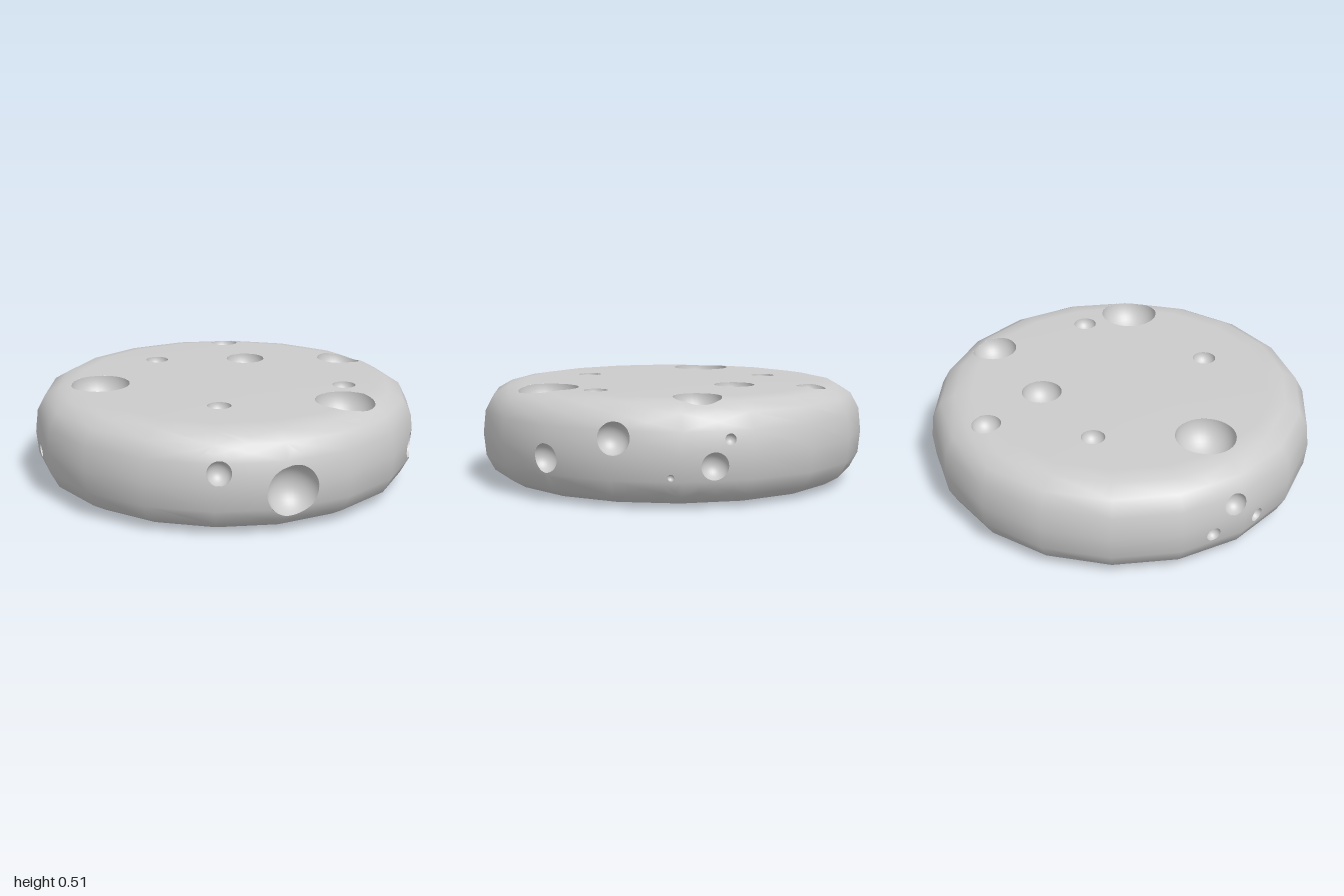
import * as THREE from 'three';

const SIDES = 18;

// Rounded wheel outline, bottom centre to top centre: [radius, height]
const PROFILE = [
  [0, 0], [0.78, 0.002], [0.87, 0.017], [0.945, 0.06], [0.988, 0.14], [1, 0.257],
  [0.988, 0.375], [0.945, 0.455], [0.87, 0.498], [0.78, 0.513], [0, 0.515],
];

// Holes in the flat faces: [x, z, radius]
const TOP_HOLES = [
  [-0.52, -0.4, 0.152], [0.02, -0.53, 0.06], [0.57, -0.53, 0.075], [0.375, -0.19, 0.103],
  [0.745, 0.18, 0.118], [0.11, 0.72, 0.152], [0.325, 0.545, 0.06], [-0.39, 0.325, 0.06],
];
const BOTTOM_HOLES = [
  [0.6, -0.48, 0.068], [0.16, -0.63, 0.153], [0.37, 0.58, 0.137],
  [-0.09, 0.09, 0.077], [-0.62, -0.36, 0.045], [-0.43, 0.66, 0.075],
];
// Holes in the rim: [x, y, z, radius]
const RIM_HOLES = [
  [-0.74, 0.33, 0.65, 0.06], [-0.46, 0.22, 0.87, 0.133], [0.49, 0.22, 0.86, 0.072],
  [0.765, 0.34, 0.615, 0.08], [0.92, 0.16, 0.39, 0.016], [0.965, 0.21, 0.185, 0.067],
  [0.975, 0.335, 0.11, 0.027], [-0.715, 0.327, -0.67, 0.06], [-0.63, 0.187, -0.75, 0.037],
  [-0.81, 0.187, -0.55, 0.037],
];

// Signed distance to the faceted wheel, negative inside
function wheelDistance(p) {
  let rho = 0;
  for (let k = 0; k < SIDES; k++) {
    const a = ((k + 0.5) / SIDES) * Math.PI * 2;
    rho = Math.max(rho, (p.x * Math.cos(a) + p.z * Math.sin(a)) / Math.cos(Math.PI / SIDES));
  }
  let d = -Infinity;
  for (let i = 1; i < PROFILE.length; i++) {
    const [r0, y0] = PROFILE[i - 1], [r1, y1] = PROFILE[i];
    const dr = r1 - r0, dy = y1 - y0;
    d = Math.max(d, ((rho - r0) * dy - (p.y - y0) * dr) / Math.hypot(dr, dy));
  }
  return d;
}

// Centre every hole on the surface
function placeHoles() {
  const holes = [
    ...TOP_HOLES.map(([x, z, r]) => ({ c: new THREE.Vector3(x, 0.514, z), r })),
    ...BOTTOM_HOLES.map(([x, z, r]) => ({ c: new THREE.Vector3(x, 0.001, z), r })),
  ];
  for (const [x, y, z, r] of RIM_HOLES) {
    const c = new THREE.Vector3(x, y, z);
    const out = new THREE.Vector3(x, 0, z).normalize();
    for (let i = 0; i < 6; i++) c.addScaledVector(out, -wheelDistance(c));
    holes.push({ c, r });
  }
  return holes;
}

const mix = (a, b, t) => ({ p: a.p.clone().lerp(b.p, t), n: a.n.clone().lerp(b.n, t).normalize() });

// Read a geometry as triangles of { position, normal } corners
function triangles(geometry) {
  const g = geometry.toNonIndexed(), { position, normal } = g.attributes, list = [];
  for (let i = 0; i < position.count; i += 3) {
    list.push([0, 1, 2].map((k) => ({
      p: new THREE.Vector3().fromBufferAttribute(position, i + k),
      n: new THREE.Vector3().fromBufferAttribute(normal, i + k),
    })));
  }
  return list;
}

// Halve the longest edge until triangles on a hole's rim are small
function refine(tri, holes, out, depth = 0) {
  const len = tri.map((v, i) => v.p.distanceTo(tri[(i + 1) % 3].p));
  const longest = Math.max(...len);
  if (Math.min(...len) < 1e-7) return;
  const mid = new THREE.Vector3().add(tri[0].p).add(tri[1].p).add(tri[2].p).divideScalar(3);
  const reach = Math.max(...tri.map((v) => v.p.distanceTo(mid)));
  const coarse = holes.some(({ c, r }) =>
    longest > r * 0.17 && Math.abs(c.distanceTo(mid) - r) < reach);
  if (!coarse || depth > 22) { out.push(tri); return; }
  const i = len.indexOf(longest);
  const a = tri[i], b = tri[(i + 1) % 3], c = tri[(i + 2) % 3], m = mix(a, b, 0.5);
  refine([a, m, c], holes, out, depth + 1);
  refine([m, b, c], holes, out, depth + 1);
}

// Keep the part of each triangle where keep(point) is positive
function clip(tris, keep) {
  const pos = [], nor = [];
  for (const tri of tris) {
    const f = tri.map((v) => keep(v.p)), poly = [];
    for (let i = 0; i < 3; i++) {
      const j = (i + 1) % 3;
      if (f[i] >= 0) poly.push(tri[i]);
      if ((f[i] >= 0) !== (f[j] >= 0)) poly.push(mix(tri[i], tri[j], f[i] / (f[i] - f[j])));
    }
    for (let i = 2; i < poly.length; i++) {
      for (const v of [poly[0], poly[i - 1], poly[i]]) {
        pos.push(v.p.x, v.p.y, v.p.z);
        nor.push(v.n.x, v.n.y, v.n.z);
      }
    }
  }
  const g = new THREE.BufferGeometry();
  g.setAttribute('position', new THREE.Float32BufferAttribute(pos, 3));
  g.setAttribute('normal', new THREE.Float32BufferAttribute(nor, 3));
  return g;
}

export function createModel() {
  const group = new THREE.Group();
  group.name = 'cheeseWheel';
  const material = new THREE.MeshStandardMaterial({ color: 0xcccccc });
  const add = (name, geometry) => {
    const mesh = new THREE.Mesh(geometry, material);
    mesh.name = name;
    group.add(mesh);
  };
  const holes = placeHoles();

  // Wheel with round openings cut out of its skin
  const points = PROFILE.map(([r, y]) => new THREE.Vector2(r, y));
  const skin = [];
  for (const tri of triangles(new THREE.LatheGeometry(points, SIDES, Math.PI / 2))) {
    refine(tri, holes, skin);
  }
  add('rind', clip(skin, (p) => Math.min(...holes.map(({ c, r }) => p.distanceTo(c) - r))));

  // Hollow bowls behind the openings: inverted spheres kept only inside the wheel
  for (const { c, r } of holes) {
    const sphere = new THREE.SphereGeometry(r, 32, 20).scale(-1, -1, -1).translate(c.x, c.y, c.z);
    add('hole', clip(triangles(sphere), (p) => -wheelDistance(p)));
  }
  return group;
}
